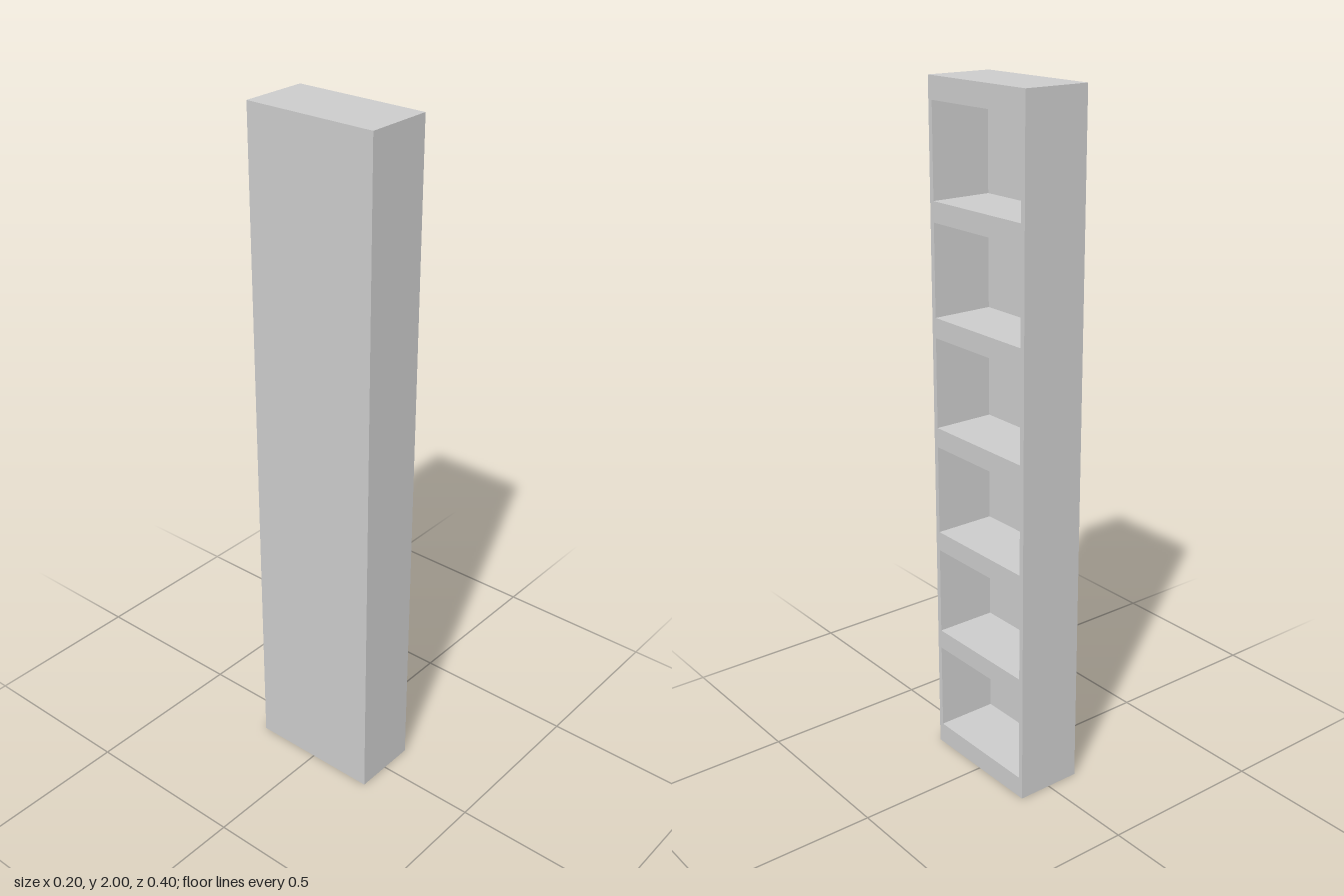
import * as THREE from 'three';

const HEIGHT = 2, WIDTH = 0.4, DEPTH = 0.2;
const BACK = 0.015, SIDE = 0.015;      // panel thicknesses
const CELLS = 6, CELL_H = 0.264, PITCH = 0.322, FIRST = 0.063;

function addRect(path, x0, y0, x1, y1) {
  path.moveTo(x0, y0);
  path.lineTo(x1, y0);
  path.lineTo(x1, y1);
  path.lineTo(x0, y1);
  path.closePath();
  return path;
}

export function createModel() {
  const group = new THREE.Group();
  group.name = 'shelfUnit';
  const material = new THREE.MeshStandardMaterial({ color: 0xcccccc });

  // Frame with a column of open compartments facing +x
  const outline = addRect(new THREE.Shape(), -WIDTH / 2, 0, WIDTH / 2, HEIGHT);
  const inner = WIDTH / 2 - SIDE;
  for (let i = 0; i < CELLS; i++) {
    const y = FIRST + i * PITCH;
    outline.holes.push(addRect(new THREE.Path(), -inner, y, inner, y + CELL_H));
  }
  const frameGeometry = new THREE.ExtrudeGeometry(outline, { depth: DEPTH - BACK, bevelEnabled: false });
  frameGeometry.rotateY(Math.PI / 2);
  frameGeometry.translate(-DEPTH / 2 + BACK, 0, 0);
  const frame = new THREE.Mesh(frameGeometry, material);
  frame.name = 'shelfFrame';
  group.add(frame);

  // Closed back panel on the -x side
  const back = new THREE.Mesh(new THREE.BoxGeometry(BACK, HEIGHT, WIDTH), material);
  back.name = 'backPanel';
  back.position.set(-DEPTH / 2 + BACK / 2, HEIGHT / 2, 0);
  group.add(back);

  return group;
}
